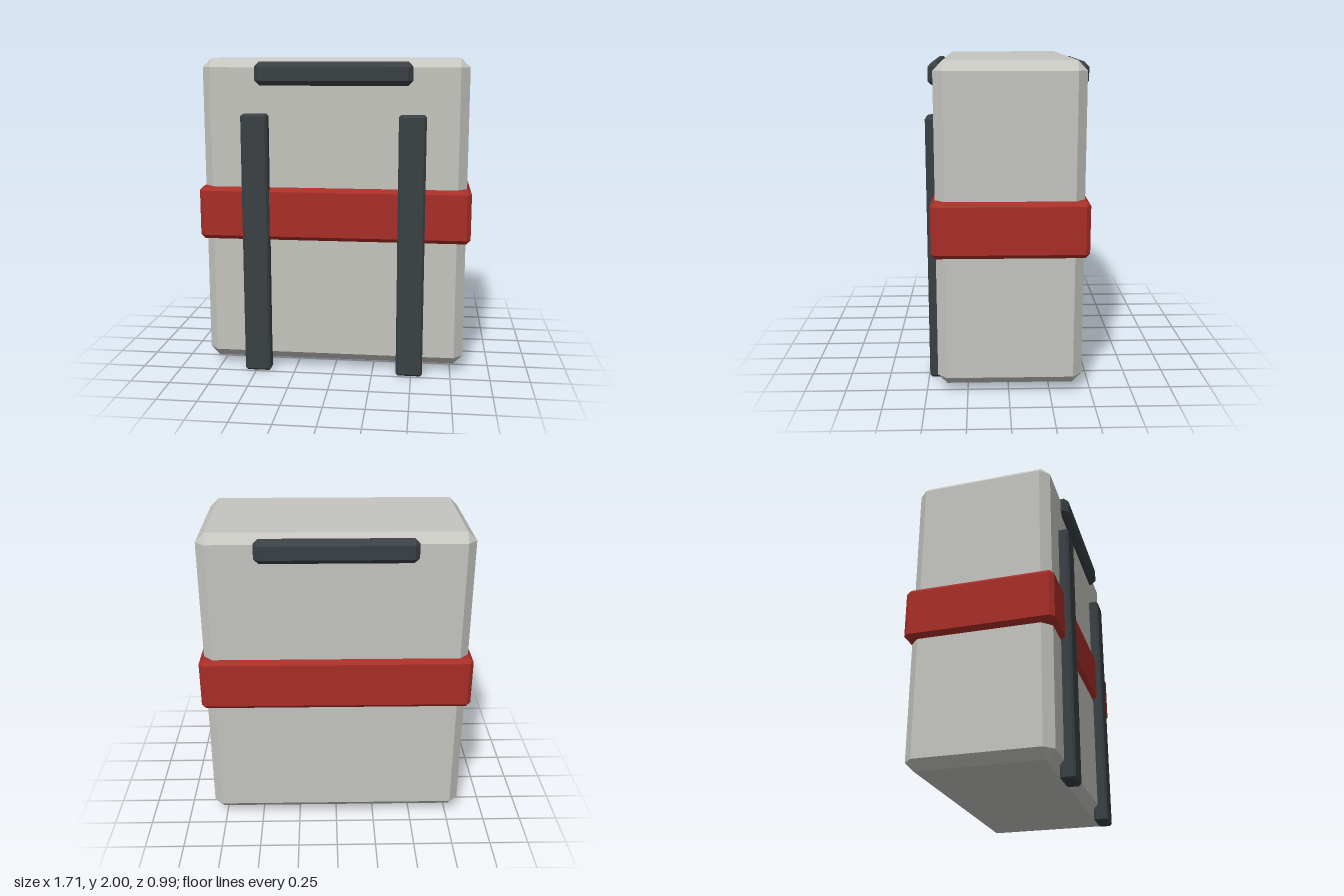
import * as THREE from 'three';
import { ConvexGeometry } from 'three/addons/geometries/ConvexGeometry.js';

const material = (color) => new THREE.MeshStandardMaterial({ color, flatShading: true });

// Box with single flat chamfers on every edge, given by its min and max corners
function chamferBox(name, min, max, c, mat) {
  const lo = new THREE.Vector3(...min), hi = new THREE.Vector3(...max);
  const half = hi.clone().sub(lo).multiplyScalar(0.5);
  const points = [];
  for (const sx of [-1, 1]) for (const sy of [-1, 1]) for (const sz of [-1, 1]) {
    for (const axis of [0, 1, 2]) {
      // each corner is cut into three points, one on each adjoining face
      const p = half.clone().subScalar(c);
      p.setComponent(axis, half.getComponent(axis));
      points.push(p.multiply(new THREE.Vector3(sx, sy, sz)));
    }
  }
  const mesh = new THREE.Mesh(new ConvexGeometry(points), mat);
  mesh.position.copy(lo).add(hi).multiplyScalar(0.5);
  mesh.name = name;
  return mesh;
}

export function createModel() {
  const model = new THREE.Group();
  model.name = 'backpackCase';
  const shell = material(0xc4c5bf);
  const red = material(0xa82e28);
  const dark = material(0x3a4044);

  // Main case and the band wrapped around it
  model.add(chamferBox('caseBody', [-0.828, 0.055, -0.445], [0.828, 2, 0.431], 0.057, shell));
  model.add(chamferBox('band', [-0.856, 0.86, -0.474], [0.856, 1.2, 0.457], 0.027, red));

  // Grab handles on the front and back top edges
  model.add(chamferBox('frontHandle', [-0.486, 1.833, 0.395], [0.486, 1.978, 0.479], 0.03, dark));
  model.add(chamferBox('backHandle', [-0.486, 1.833, -0.494], [0.486, 1.978, -0.41], 0.03, dark));

  // Vertical straps on the front
  for (const [name, x] of [['leftStrap', 0.488], ['rightStrap', -0.488]]) {
    model.add(chamferBox(name, [x - 0.084, 0, 0.402], [x + 0.084, 1.66, 0.494], 0.014, dark));
  }
  return model;
}
